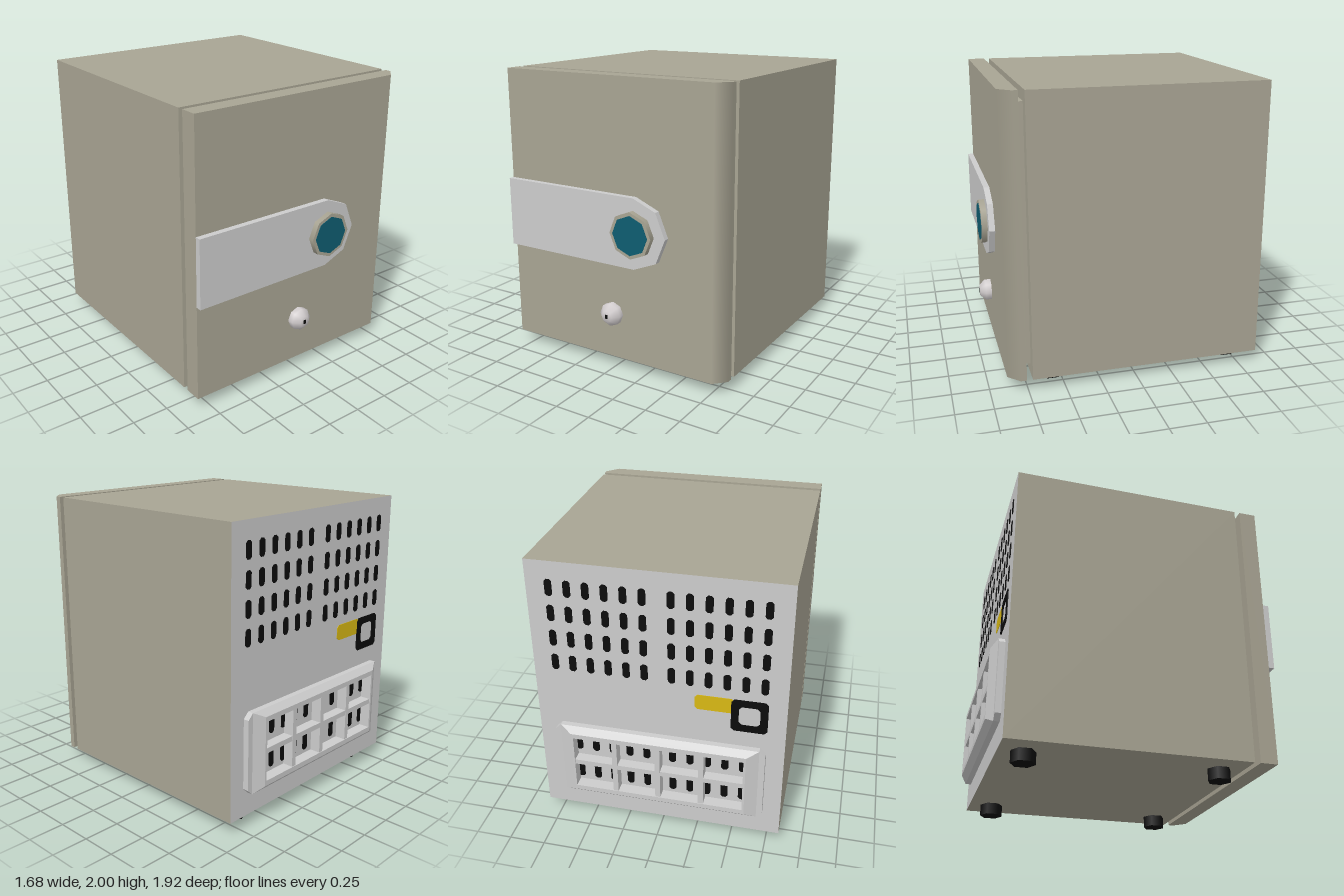
import * as THREE from 'three';
import { mergeGeometries } from 'three/addons/utils/BufferGeometryUtils.js';

const material = (name, color) => {
  const m = new THREE.MeshStandardMaterial({ color });
  m.name = name;
  return m;
};

// Rectangle with cut corners
function cutRect(cx, cy, w, h, c, Type = THREE.Shape) {
  const x = w / 2, y = h / 2;
  const corners = c === 0
    ? [[x, y], [-x, y], [-x, -y], [x, -y]]
    : [[x, y - c], [x - c, y], [c - x, y], [-x, y - c], [-x, c - y], [c - x, -y], [x - c, -y], [x, c - y]];
  return new Type(corners.map(([a, b]) => new THREE.Vector2(cx + a, cy + b)));
}

// Prism of a shape from z0 to z1
function slab(shape, z0, z1) {
  return new THREE.ExtrudeGeometry(shape, { depth: z1 - z0, bevelEnabled: false }).translate(0, 0, z0);
}

function box(x0, x1, y0, y1, z0, z1) {
  return new THREE.BoxGeometry(x1 - x0, y1 - y0, z1 - z0)
    .translate((x0 + x1) / 2, (y0 + y1) / 2, (z0 + z1) / 2);
}

export function createModel() {
  const beige = material('beige paint', 0xa8a493);
  const grey = material('light grey', 0xcccccc);
  const metal = material('knob metal', 0xd2cdce);
  const black = material('black', 0x0c0c0c);
  const teal = material('teal', 0x0e5c70);
  const yellow = material('yellow', 0xd8b814);

  const model = new THREE.Group();
  model.name = 'cabinet';
  const add = (name, geometry, mat) => {
    const mesh = new THREE.Mesh(geometry, mat);
    mesh.name = name;
    model.add(mesh);
    return mesh;
  };

  // Cabinet body with a grey rear face, and the recessed neck behind the door
  add('body', box(-0.84, 0.84, 0.08, 2, -0.88, 0.72), [beige, beige, beige, beige, beige, grey]);
  add('doorNeck', box(-0.76, 0.76, 0.16, 1.92, 0.72, 0.76), beige);

  // Door with one softened vertical edge, drawn from above
  const outline = new THREE.Shape([[-0.84, -0.76], [-0.84, -0.88], [0.76, -0.88], [0.84, -0.8], [0.84, -0.76]]
    .map(([x, y]) => new THREE.Vector2(x, y)));
  const door = slab(outline, 0.08, 2).rotateX(-Math.PI / 2);
  const dp = door.attributes.position, dn = door.attributes.normal;
  for (let i = 0; i < dp.count; i++) {
    if (dn.getX(i) > 0.5 && dn.getZ(i) > 0.5) {
      if (dp.getX(i) > 0.8) dn.setXYZ(i, 1, 0, 0);
      else dn.setXYZ(i, 0, 0, 1);
    }
  }
  add('door', door, beige);

  // Handle plate with a faceted round end
  const plate = new THREE.Shape();
  plate.moveTo(-0.84, 0.76);
  for (let i = 0; i <= 4; i++) {
    const a = -Math.PI / 2 + i * Math.PI / 4;
    plate.lineTo(0.2 + 0.24 * Math.cos(a), 1 + 0.24 * Math.sin(a));
  }
  plate.lineTo(-0.84, 1.24);
  add('handlePlate', slab(plate, 0.88, 0.92), grey);

  // Eight-sided dial and its coloured face
  const disc = (r, depth) => new THREE.CylinderGeometry(r, r, depth, 8).rotateX(Math.PI / 2);
  add('dial', disc(0.158, 0.04), beige).position.set(0.2, 1, 0.94);
  add('dialFace', disc(0.134, 0.004), teal).position.set(0.2, 1, 0.961);

  // Lock knob with keyhole
  const profile = [[0.08, 0], [0.08, 0.04], [0.04, 0.08], [0, 0.08]].map(([r, y]) => new THREE.Vector2(r, y));
  add('lockKnob', new THREE.LatheGeometry(profile, 8).rotateX(Math.PI / 2), metal).position.set(0, 0.4, 0.88);
  add('keyhole', box(-0.01, 0.01, 0.386, 0.414, 0.955, 0.963), black);

  // Six-sided feet
  for (const x of [-0.64, 0.64]) {
    for (const z of [0.56, -0.72]) {
      add('foot', new THREE.CylinderGeometry(0.08, 0.08, 0.08, 6), black).position.set(x, 0.04, z);
    }
  }

  // Rear ventilation slots: full rows above, shorter rows behind the grille
  const slots = [];
  const addRow = (y, columns) => {
    for (let i = 0; i < columns; i++) {
      for (const side of [-1, 1]) {
        slots.push(slab(cutRect(side * (0.09 + 0.12 * i), y, 0.048, 0.115, 0.014), -0.884, -0.879));
      }
    }
  };
  [1.82, 1.64, 1.46, 1.28].forEach((y) => addRow(y, 6));
  [0.64, 0.4].forEach((y) => addRow(y, 5));
  add('ventSlots', mergeGeometries(slots), black);

  // Rear label and socket surround
  add('rearLabel', slab(cutRect(-0.37, 1.105, 0.26, 0.11, 0.02), -0.883, -0.879), yellow);
  const surround = cutRect(-0.6, 1.04, 0.24, 0.24, 0.02);
  surround.holes.push(cutRect(-0.6, 1.04, 0.14, 0.14, 0.02, THREE.Path));
  add('socketSurround', slab(surround, -0.886, -0.879), black);

  // Rear grille: flange, tapered rim and crossing bars
  const opening = () => cutRect(0, 0.52, 1.17, 0.41, 0, THREE.Path);
  const flange = cutRect(0, 0.52, 1.44, 0.56, 0.04);
  flange.holes.push(opening());
  add('grilleFlange', slab(flange, -0.92, -0.88), grey);

  const rimShape = cutRect(0, 0.52, 1.36, 0.56, 0);
  rimShape.holes.push(opening());
  const rim = slab(rimShape, -0.96, -0.92);
  const rp = rim.attributes.position;
  for (let i = 0; i < rp.count; i++) {
    if (rp.getZ(i) < -0.95) {
      rp.setX(i, THREE.MathUtils.clamp(rp.getX(i), -0.6, 0.6));
      rp.setY(i, THREE.MathUtils.clamp(rp.getY(i), 0.28, 0.76));
    }
  }
  rim.computeVertexNormals();
  add('grilleRim', rim, grey);

  for (const x of [-0.3, 0, 0.3]) {
    add('grilleUpright', box(x - 0.018, x + 0.018, 0.31, 0.73, -0.955, -0.88), grey);
  }
  add('grilleCrossbar', box(-0.59, 0.59, 0.502, 0.538, -0.953, -0.88), grey);

  return model;
}
